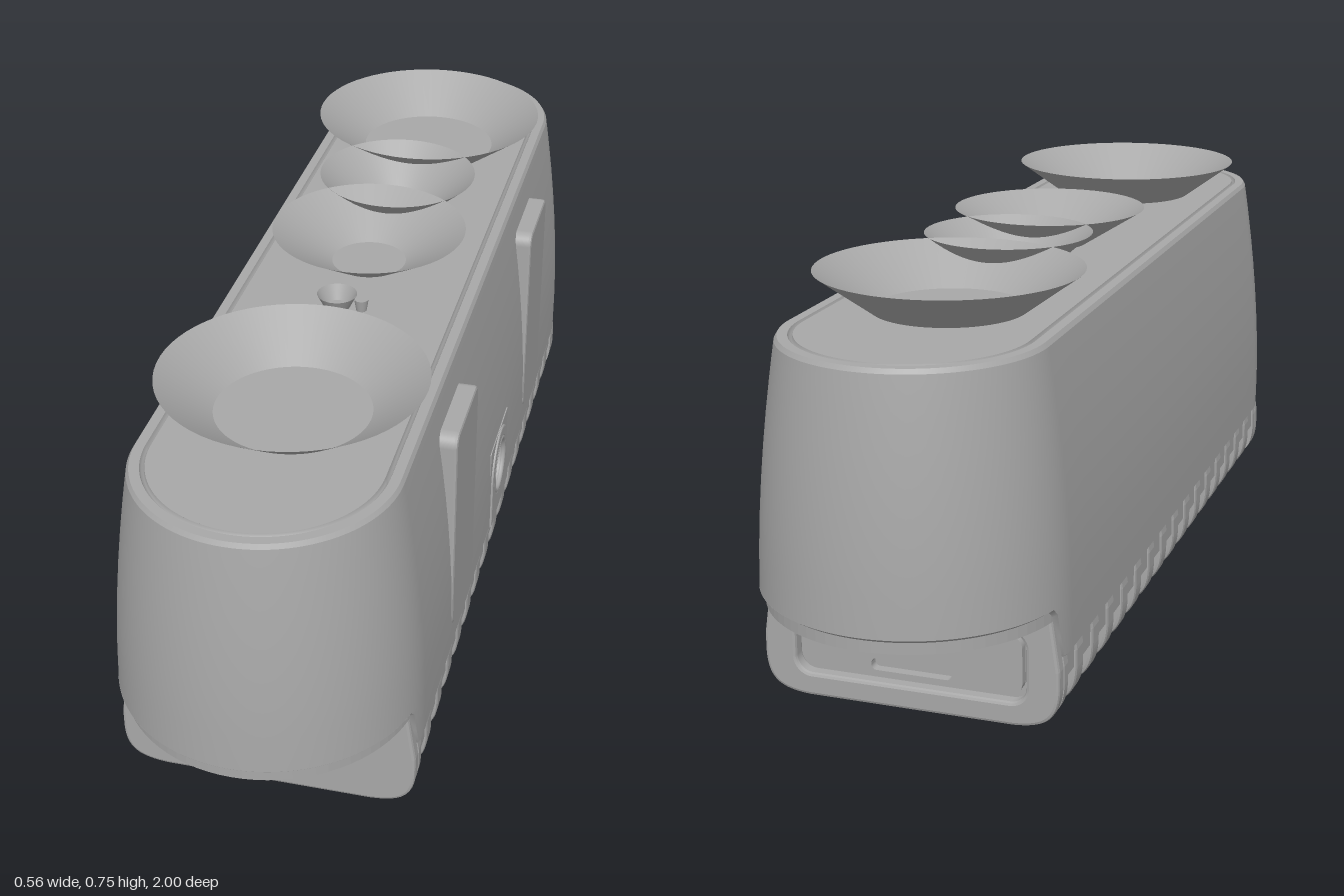
import * as THREE from 'three';

const grey = new THREE.MeshStandardMaterial({ color: 0xa8a8a8, side: THREE.DoubleSide });
grey.name = 'grey';

const ARC_Z = 0.722;  // centre of the rounded ends
const TOP = 0.672;    // height of the top face
const END = 0.785;    // end faces of the base

export function createModel() {
  const group = new THREE.Group();
  const add = (name, geometry, x = 0, y = 0, z = 0) => {
    const mesh = new THREE.Mesh(geometry, grey);
    mesh.name = name;
    mesh.position.set(x, y, z);
    group.add(mesh);
    return mesh;
  };
  const extrude = (shape, depth, bevel = 0) => {
    const g = new THREE.ExtrudeGeometry(shape, {
      depth: depth - 2 * bevel, curveSegments: 20, bevelEnabled: bevel > 0,
      bevelSize: bevel, bevelThickness: bevel, bevelOffset: -bevel, bevelSegments: 2,
    });
    return g.translate(0, 0, bevel);
  };
  const roundRect = (w, h, r, cy = 0, Type = THREE.Shape) => {
    const s = new Type(), x = w / 2, y = h / 2;
    s.absarc(x - r, cy + y - r, r, 0, Math.PI / 2);
    s.absarc(-x + r, cy + y - r, r, Math.PI / 2, Math.PI);
    s.absarc(-x + r, cy - y + r, r, Math.PI, Math.PI * 1.5);
    s.absarc(x - r, cy - y + r, r, Math.PI * 1.5, Math.PI * 2);
    s.closePath();
    return s;
  };
  const circleHole = (r, cy = 0) => new THREE.Path().absarc(0, cy, r, 0, Math.PI * 2);

  // ---- Housing: tapered stadium with a stepped lower edge ----
  const outline = []; // [arc centre z, normal x, normal z]
  const SIDE = 16, ARC = 72;
  for (let i = 0; i < SIDE; i++) outline.push([ARC_Z - (2 * ARC_Z * i) / SIDE, 1, 0]);
  for (let i = 0; i < ARC; i++) {
    const a = (Math.PI * i) / ARC;
    outline.push([-ARC_Z, Math.cos(a), -Math.sin(a)]);
  }
  for (let i = 0; i < SIDE; i++) outline.push([-ARC_Z + (2 * ARC_Z * i) / SIDE, -1, 0]);
  for (let i = 0; i < ARC; i++) {
    const a = (Math.PI * i) / ARC;
    outline.push([ARC_Z, -Math.cos(a), Math.sin(a)]);
  }
  const radius = (y) => 0.278 - 0.043 * Math.pow(Math.max(0, (y - 0.2) / 0.47), 1.8);
  const lowerEdge = (z) => 0.12 + 0.1 * THREE.MathUtils.smoothstep(Math.abs(z), 0.755, 0.79);
  const loft = (rows, skip = () => false) => { // rows: functions z -> [radius, y]
    const pos = [], idx = [], n = outline.length;
    for (const row of rows) for (const [cz, nx, nz] of outline) {
      const [r, y] = row(cz + nz * 0.278);
      pos.push(nx * r, y, cz + nz * r);
    }
    for (let k = 0; k < rows.length - 1; k++) for (let i = 0; i < n; i++) {
      if (skip(k, i)) continue;
      const j = (i + 1) % n, a = k * n + i, b = k * n + j;
      idx.push(a, b, b + n, a, b + n, a + n);
    }
    const g = new THREE.BufferGeometry();
    g.setAttribute('position', new THREE.Float32BufferAttribute(pos, 3));
    g.setIndex(idx);
    g.computeVertexNormals();
    return g;
  };
  const levels = [0.13, 0.225, 0.3, 0.36, 0.42, 0.48, 0.54, 0.6, 0.64, 0.664];
  const wallRows = levels.map((l) => (z) => {
    const y = Math.max(l, lowerEdge(z) + 0.01);
    return [radius(y), y];
  });
  // opening for the threaded mount on one side
  add('housingWall', loft(wallRows, (k, i) => k < 2 && (i === 7 || i === 8)));
  add('housingLowerLip', loft([
    (z) => [radius(0.2) - 0.014, lowerEdge(z)],
    (z) => [radius(0.2), lowerEdge(z) + 0.01],
  ]));
  const ring = (pairs) => loft(pairs.map((p) => () => p));
  add('topBevel', ring([[radius(0.664), 0.664], [0.231, TOP]]));
  add('topRim', ring([[0.231, TOP], [0.213, TOP]]));
  add('topGroove', ring([[0.213, TOP], [0.210, TOP - 0.008], [0.206, TOP - 0.008], [0.204, TOP]]));
  const cap = new THREE.Shape();
  cap.absarc(0, ARC_Z, 0.204, 0, Math.PI);
  cap.absarc(0, -ARC_Z, 0.204, Math.PI, Math.PI * 2);
  add('topFace', new THREE.ShapeGeometry(cap, 32).rotateX(-Math.PI / 2), 0, TOP, 0);

  // ---- Underside of the overhanging ends, with cross-head screws ----
  for (const s of [1, -1]) {
    const half = new THREE.Shape();
    half.absarc(0, 0, 0.268, 0, Math.PI);
    half.closePath();
    const plate = add('endUnderside', extrude(half, 0.03).rotateX(-Math.PI / 2), 0, 0.202, -s * ARC_Z);
    if (s < 0) plate.rotation.y = Math.PI;
    for (const x of [-0.1, 0.1]) {
      add('undersideScrew', new THREE.CylinderGeometry(0.032, 0.03, 0.008, 24), x, 0.199, s * 0.89);
      for (const a of [0.78, -0.78])
        add('screwCross', new THREE.BoxGeometry(0.04, 0.004, 0.008).rotateY(a), x, 0.194, s * 0.89);
    }
  }

  // ---- Wide and narrow view cones on top ----
  const cone = (name, z, r1, r0, h = 0.073, x = 0) =>
    add(name, new THREE.CylinderGeometry(r1, r0, h, 64, 1, true), x, TOP + h / 2, z);
  cone('outerCone', 0.56, 0.24, 0.14);
  cone('outerCone', -0.56, 0.24, 0.14);
  cone('centreCone', 0, 0.19, 0.073);
  cone('sensorCone', -0.25, 0.16, 0.075);
  cone('indicatorCone', 0.195, 0.038, 0.024, 0.028, -0.015);
  add('indicatorStud', new THREE.CylinderGeometry(0.014, 0.01, 0.024, 20), 0.033, TOP + 0.012, 0.197);

  // ---- Side pads ----
  for (const z of [0.39, -0.39])
    add('sidePad', extrude(roundRect(0.2, 0.43, 0.025), 0.07, 0.006).rotateY(Math.PI / 2), 0.21, 0.392, z);

  // ---- Threaded mount ----
  const MOUNT_Y = 0.225;
  const panel = roundRect(0.186, 0.19, 0.004, -0.012);
  panel.holes.push(circleHole(0.056));
  add('mountPanel', extrude(panel, 0.012).rotateY(Math.PI / 2), 0.265, MOUNT_Y, 0);
  const arch = new THREE.Shape();
  arch.absarc(0, 0, 0.083, 0, Math.PI);
  arch.lineTo(-0.083, -0.105);
  arch.lineTo(0.083, -0.105);
  arch.closePath();
  arch.holes.push(circleHole(0.06));
  add('mountArch', extrude(arch, 0.012, 0.003).rotateY(Math.PI / 2), 0.269, MOUNT_Y, 0);
  add('mountRing', new THREE.TorusGeometry(0.057, 0.006, 10, 40).rotateY(Math.PI / 2), 0.276, MOUNT_Y, 0);
  add('mountBore', new THREE.CylinderGeometry(0.052, 0.052, 0.11, 40, 1, true).rotateZ(Math.PI / 2), 0.222, MOUNT_Y, 0);
  add('mountBoreEnd', new THREE.CircleGeometry(0.052, 40).rotateY(Math.PI / 2), 0.168, MOUNT_Y, 0);

  // ---- Base: core, end plates and cooling fins ----
  const section = (top, topX) => {
    const s = new THREE.Shape();
    s.moveTo(-topX, top);
    s.lineTo(-0.275, 0.11);
    s.lineTo(-0.275, 0.075);
    s.bezierCurveTo(-0.273, 0.02, -0.25, 0.003, -0.19, 0);
    s.lineTo(0.19, 0);
    s.bezierCurveTo(0.25, 0.003, 0.273, 0.02, 0.275, 0.075);
    s.lineTo(0.275, 0.11);
    s.lineTo(topX, top);
    s.closePath();
    return s;
  };
  add('baseCore', new THREE.BoxGeometry(0.542, 0.08, 1.5), 0, 0.12, 0);
  const PITCH = 0.095;
  for (let i = -7; i <= 7; i++)
    add('coolingFin', extrude(section(0.13, 0.272), 0.048, 0.007), 0, 0, i * PITCH - 0.024);
  for (const s of [1, -1]) {
    const face = section(0.215, 0.26);
    face.holes.push(s > 0 ? roundRect(0.216, 0.088, 0.036, 0.115, THREE.Path)
      : roundRect(0.43, 0.13, 0.03, 0.108, THREE.Path));
    add('endPlate', extrude(face, 0.03, 0.006), 0, 0, s > 0 ? END - 0.03 : -END);
    add('endBacking', extrude(section(0.215, 0.26), 0.02), 0, 0, s > 0 ? END - 0.05 : -END + 0.03);

    // screw bosses between the fins
    const boss = new THREE.Shape().absarc(0, 0, 0.05, 0, Math.PI * 2);
    boss.holes.push(circleHole(0.024));
    add('screwBoss', extrude(boss, 0.06).rotateX(-Math.PI / 2), 0, 0.03, s * 5.5 * PITCH);
    add('bossBridge', new THREE.BoxGeometry(0.2, 0.035, 0.05), 0, 0.068, s * 7.5 * PITCH);
  }

  // ---- Front connector and slotted screws ----
  const frame = (w, h, r, t) => {
    const f = roundRect(w, h, r);
    f.holes.push(roundRect(w - 2 * t, h - 2 * t, r - t, 0, THREE.Path));
    return f;
  };
  add('portFrame', extrude(frame(0.214, 0.086, 0.035, 0.013), 0.022), 0, 0.115, END - 0.03);
  add('portShell', extrude(frame(0.18, 0.056, 0.022, 0.008), 0.029), 0, 0.115, END - 0.03);
  add('portTongue', new THREE.BoxGeometry(0.145, 0.018, 0.024), 0, 0.115, END - 0.018);
  for (const x of [-0.17, 0.165]) {
    add('frontScrew', new THREE.CylinderGeometry(0.019, 0.019, 0.006, 28).rotateX(Math.PI / 2), x, 0.114, END + 0.001);
    add('frontScrewSlot', new THREE.BoxGeometry(0.034, 0.003, 0.003), x, 0.114, END + 0.004);
  }

  // ---- Rear cover with a narrow slot ----
  const cover = roundRect(0.41, 0.112, 0.024);
  cover.holes.push(roundRect(0.15, 0.022, 0.009, -0.035, THREE.Path));
  add('rearCover', extrude(cover, 0.018), 0, 0.108, -END + 0.012);
  return group;
}
